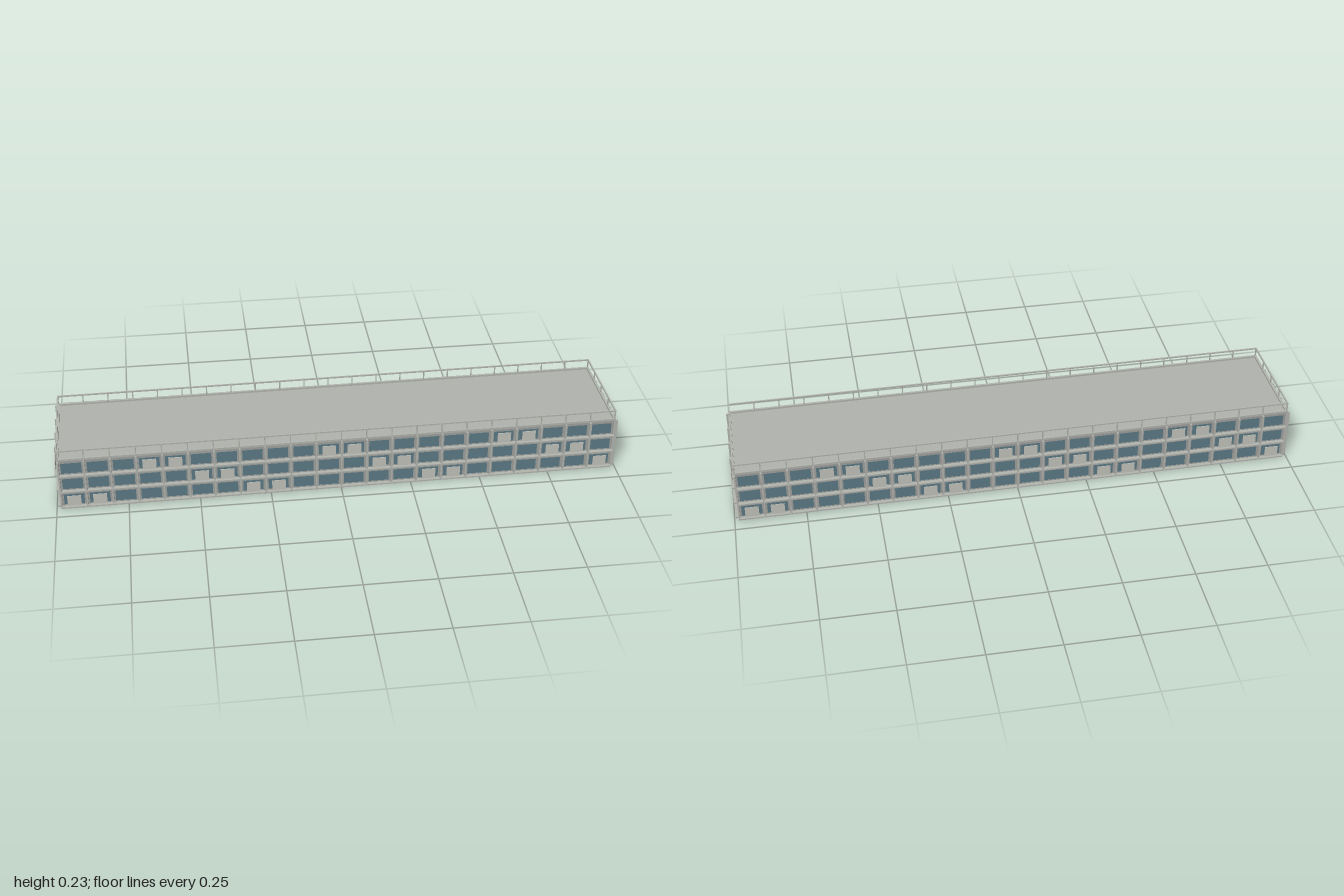
import * as THREE from 'three';
import { mergeGeometries } from 'three/addons/utils/BufferGeometryUtils.js';

const HALF_X = 0.984, HALF_Z = 0.181;     // wall planes
const FLOORS = 3, STOREY = 0.0643, ROOF = 0.192;
const WIN_W = 0.071, WIN_H = 0.042, SILL = 0.0095;

const mat = (color, side = THREE.FrontSide) =>
  new THREE.MeshStandardMaterial({ color, side, roughness: 0.9 });

const materials = {
  wall: mat(0xa0a29f),
  frame: mat(0xb4b6b0),
  glass: mat(0x5c7b86, THREE.DoubleSide),
  blind: mat(0xc4c4be),
  roof: mat(0xb2b4ae),
};

// Box given by its extents along each axis
function box(x0, x1, y0, y1, z0, z1) {
  return new THREE.BoxGeometry(x1 - x0, y1 - y0, z1 - z0)
    .translate((x0 + x1) / 2, (y0 + y1) / 2, (z0 + z1) / 2);
}

function part(name, geometries, material) {
  const mesh = new THREE.Mesh(mergeGeometries(geometries), material);
  mesh.name = name;
  return mesh;
}

// One side of the building: x runs along it, z = 0 is the wall face, +z is outward
function createFacade(name, half, bays) {
  const facade = new THREE.Group();
  facade.name = name;
  const bay = (2 * half) / bays;

  const outline = new THREE.Shape([
    new THREE.Vector2(-half, 0), new THREE.Vector2(half, 0),
    new THREE.Vector2(half, ROOF), new THREE.Vector2(-half, ROOF),
  ]);
  const panes = [], blinds = [], pillars = [], slabs = [], posts = [];

  for (let i = 0; i < bays; i++) {
    const edge = -half + i * bay, mid = edge + bay / 2;
    // A pillar and a railing post at the start of each bay
    pillars.push(box(edge - 0.003, edge + 0.003, 0, ROOF, -0.002, 0.0125));
    posts.push(box(edge - 0.002, edge + 0.002, 0.198, 0.231, -0.002, 0.002));

    for (let floor = 0; floor < FLOORS; floor++) {
      const x0 = mid - WIN_W / 2, x1 = mid + WIN_W / 2;
      const y0 = SILL + floor * STOREY, y1 = y0 + WIN_H;
      outline.holes.push(new THREE.Path([
        new THREE.Vector2(x0, y0), new THREE.Vector2(x0, y1),
        new THREE.Vector2(x1, y1), new THREE.Vector2(x1, y0),
      ]));
      panes.push(new THREE.PlaneGeometry(WIN_W, WIN_H).translate(mid, (y0 + y1) / 2, -0.001));
      // Pairs of windows with blinds, stepping diagonally from floor to floor
      if ((i + 2 * floor) % 7 < 2) {
        blinds.push(box(mid - 0.024, mid + 0.024, y0 + 0.001, y1 - 0.001, 0.009, 0.011));
      }
    }
  }
  for (let floor = 0; floor < FLOORS; floor++) {
    const y = 0.001 + floor * STOREY;
    slabs.push(box(-half, half, y, y + 0.005, -0.002, 0.014));
  }

  const wall = new THREE.ExtrudeGeometry(outline, { depth: 0.002, bevelEnabled: false })
    .translate(0, 0, -0.002);
  facade.add(
    part('wall', [wall], materials.wall),
    part('windows', panes, materials.glass),
    part('blinds', blinds, materials.blind),
    part('pillars', pillars, materials.frame),
    part('floorLedges', slabs, materials.frame),
    part('parapet', [box(-half - 0.004, half + 0.004, ROOF, 0.2, -0.004, 0.004)], materials.frame),
    part('railingPosts', posts, materials.frame),
    part('railingTop', [box(-half - 0.0025, half + 0.0025, 0.229, 0.234, -0.0025, 0.0025)], materials.frame),
  );
  return facade;
}

export function createModel() {
  const model = new THREE.Group();
  model.name = 'building';

  // The block stands slightly turned on its plot
  const block = new THREE.Group();
  block.name = 'block';
  block.rotation.y = 0.009;
  model.add(block);

  // Four facades around the hollow block
  ['front', 'left', 'back', 'right'].forEach((side, k) => {
    const long = k % 2 === 0;
    const facade = createFacade(side + 'Facade', long ? HALF_X : HALF_Z, long ? 22 : 4);
    const angle = (k * Math.PI) / 2, distance = long ? HALF_Z : HALF_X;
    facade.rotation.y = angle;
    facade.position.set(Math.sin(angle) * distance, 0, Math.cos(angle) * distance);
    block.add(facade);
  });

  // Flat roof behind the parapet
  block.add(part('roof', [
    box(-HALF_X + 0.001, HALF_X - 0.001, 0.189, 0.193, -HALF_Z + 0.001, HALF_Z - 0.001),
  ], materials.roof));

  return model;
}
